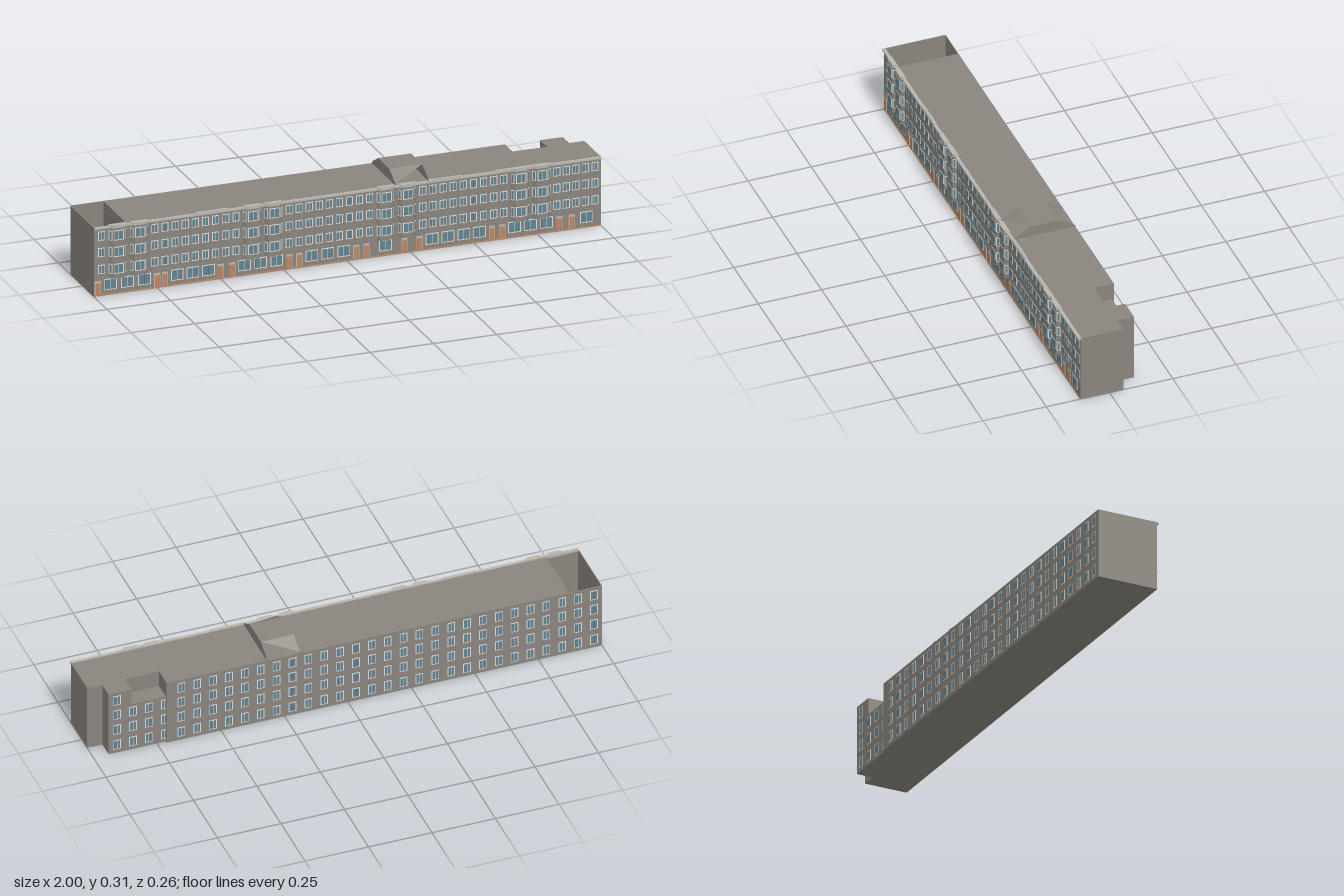
import * as THREE from 'three';
import { mergeGeometries } from 'three/addons/utils/BufferGeometryUtils.js';

const mat = (name, color, extra = {}) => {
  const m = new THREE.MeshStandardMaterial({ color, ...extra });
  m.name = name;
  return m;
};

export function createModel() {
  const group = new THREE.Group();
  group.name = 'terracedBuilding';
  const wall = mat('greyBrownWall', 0x8a857d, { side: THREE.DoubleSide });
  const white = mat('whiteFrame', 0xdcdcd8);
  const glass = mat('blueGlass', 0x628391);
  const wood = mat('orangeWood', 0xbd8660);
  const stone = mat('paleStone', 0xb9b5ae);

  const TOP = 0.272, FRONT = 0.115, BACK = -0.128;

  // Box geometry from its two extents on each axis
  const span = (x0, x1, y0, y1, z0, z1) =>
    new THREE.BoxGeometry(x1 - x0, y1 - y0, z1 - z0)
      .translate((x0 + x1) / 2, (y0 + y1) / 2, (z0 + z1) / 2);
  // Thin plate centred at a point and turned about the vertical axis
  const plate = (x, y, z, w, h, t, turn = 0) =>
    new THREE.BoxGeometry(w, h, t).rotateY(turn).translate(x, y, z);
  const add = (name, list, material) => {
    const mesh = new THREE.Mesh(mergeGeometries(list), material);
    mesh.name = name;
    group.add(mesh);
  };

  // Main blocks, stepping back at the left rear corner with a low terrace
  add('mainBlock', [span(-0.87, 0.715, 0, TOP, BACK, FRONT)], wall);
  add('rearStepBlocks', [
    span(0.715, 0.85, 0, TOP, -0.05, FRONT),
    span(0.715, 0.85, 0, 0.205, -0.12, -0.05),
    span(0.85, 0.94, 0, TOP, -0.12, FRONT),
    span(0.94, 1, 0, TOP, -0.055, FRONT),
  ], wall);

  // Open well at the right end
  add('openWell', [
    span(-1, -0.997, 0, TOP, BACK, FRONT),
    span(-1, -0.87, 0, TOP, BACK, BACK + 0.003),
    span(-1, -0.87, 0, TOP, FRONT - 0.003, FRONT),
    span(-1, -0.87, 0, 0.003, BACK, FRONT),
  ], wall);

  // Raised roof light: flat top, half-open slopes and two gable sides
  const tri = [];
  const face = (...pts) => {
    for (let i = 1; i < pts.length - 1; i++) tri.push(...pts[0], ...pts[i], ...pts[i + 1]);
  };
  const xa = 0.19, xb = 0.32, ridge = 0.315, eave = 0.278, zf = 0.05, zb = -0.065;
  face([xa, ridge, zf], [xb, ridge, zf], [xb, ridge, zb], [xa, ridge, zb]);
  face([xa, eave, FRONT], [xb, ridge, zf], [xa, ridge, zf]);
  face([xa, eave, BACK], [xa, ridge, zb], [xb, ridge, zb]);
  for (const x of [xa, xb]) {
    face([x, TOP, FRONT], [x, eave, FRONT], [x, ridge, zf], [x, ridge, zb], [x, eave, BACK], [x, TOP, BACK]);
  }
  const lightGeo = new THREE.BufferGeometry();
  lightGeo.setAttribute('position', new THREE.Float32BufferAttribute(tri, 3));
  lightGeo.computeVertexNormals();
  add('roofLight', [lightGeo], wall);

  // Windows gather into shared lists of frames and panes
  const frames = [], panes = [];
  const windowAt = (x, y, z, w, h, turn = 0, bars = 1) => {
    const nx = Math.sin(turn), nz = Math.cos(turn);
    frames.push(plate(x, y, z, w, h, 0.002, turn));
    const pw = (w - 0.005) / bars;
    for (let i = 0; i < bars; i++) {
      const s = (i - (bars - 1) / 2) * pw;
      panes.push(plate(x + s * nz + nx * 0.0006, y, z - s * nx + nz * 0.0006,
        pw - 0.002, h - 0.007, 0.002, turn));
    }
  };
  const rows = [0.105, 0.172, 0.237];

  // Paired projecting bays with canted sides
  const bayShape = new THREE.Shape([[-0.036, -0.11], [-0.036, -FRONT], [-0.024, -0.129],
    [0.024, -0.129], [0.036, -FRONT], [0.036, -0.11]].map(p => new THREE.Vector2(...p)));
  const bays = [], bayCaps = [];
  const groups = [-0.865, -0.335, 0.192, 0.722];
  const cant = Math.atan2(0.014, 0.012);
  for (const g of groups) for (const s of [-1, 1]) {
    const x = g + s * 0.042;
    const solid = (y, h) => new THREE.ExtrudeGeometry(bayShape, { depth: h, bevelEnabled: false })
      .rotateX(-Math.PI / 2).translate(x, y, 0);
    bays.push(solid(0.067, 0.198));
    bayCaps.push(solid(0.265, 0.012));
    for (const y of rows) {
      windowAt(x, y, 0.129, 0.04, 0.04, 0, 2);
      for (const k of [-1, 1]) windowAt(x + k * 0.03, y, 0.122, 0.015, 0.04, k * cant);
    }
  }
  add('bays', bays, wall);
  add('bayCaps', bayCaps, stone);

  // Upper front windows in the stretches between bays
  const stretches = [[-0.99, -0.95, 1], [-0.78, -0.42, 9], [-0.25, 0.107, 9], [0.277, 0.637, 9], [0.807, 0.995, 5]];
  for (const [a, b, n] of stretches) for (let i = 0; i < n; i++) {
    for (const y of rows) windowAt(a + (b - a) * (i + 0.5) / n, y, FRONT, 0.028, 0.036, 0, 2);
  }

  // Front doors in pairs, each with a pale surround
  const doors = [-0.985, -0.75, -0.72, -0.5, -0.455, -0.23, -0.19, 0.035, 0.075,
    0.225, 0.285, 0.57, 0.61, 0.835, 0.885];
  add('doors', doors.map(x => plate(x, 0.026, FRONT + 0.001, 0.02, 0.05, 0.003)), wood);
  add('doorSurrounds', doors.map(x => plate(x, 0.03, FRONT, 0.025, 0.06, 0.002)), stone);

  // Wide ground floor windows filling the gaps between doors
  const ends = [...doors, 1.0];
  for (let i = 0; i < doors.length; i++) {
    const gap = ends[i + 1] - ends[i] - 0.035;
    const n = Math.floor(gap / 0.058);
    for (let j = 0; j < n; j++) {
      const x = ends[i] + 0.0175 + gap * (j + 0.5) / n;
      windowAt(x, 0.042, FRONT, Math.min(0.05, gap / n - 0.01), 0.044, 0, 2);
    }
  }

  // Rear windows on four floors, following the stepped rear wall
  for (let i = 0; i < 31; i++) {
    const x = -0.968 + i * 0.0625;
    const z = x > 0.715 ? -0.12 : BACK;
    for (const y of [0.036, ...rows]) {
      if (x > 0.94 || (x > 0.7 && x < 0.86 && y > 0.2)) continue;
      windowAt(x, y, z, 0.03, 0.042, Math.PI, 2);
    }
  }
  add('windowFrames', frames, white);
  add('windowPanes', panes, glass);

  // Front cornice, string course and raised parapet strips
  add('cornice', [span(-1, 1, 0.266, TOP + 0.001, FRONT - 0.004, 0.124)], stone);
  add('stringCourse', [span(-1, 1, 0.068, 0.073, FRONT - 0.002, FRONT + 0.002)], wall);
  add('parapets', [[-0.6, -0.47], [0.32, 0.45], [0.58, 0.8]]
    .map(([a, b]) => span(a, b, TOP, 0.277, FRONT - 0.004, 0.122)), stone);
  add('plinth', [span(-1, 1, 0, 0.005, FRONT - 0.002, FRONT + 0.002)], wood);
  return group;
}
